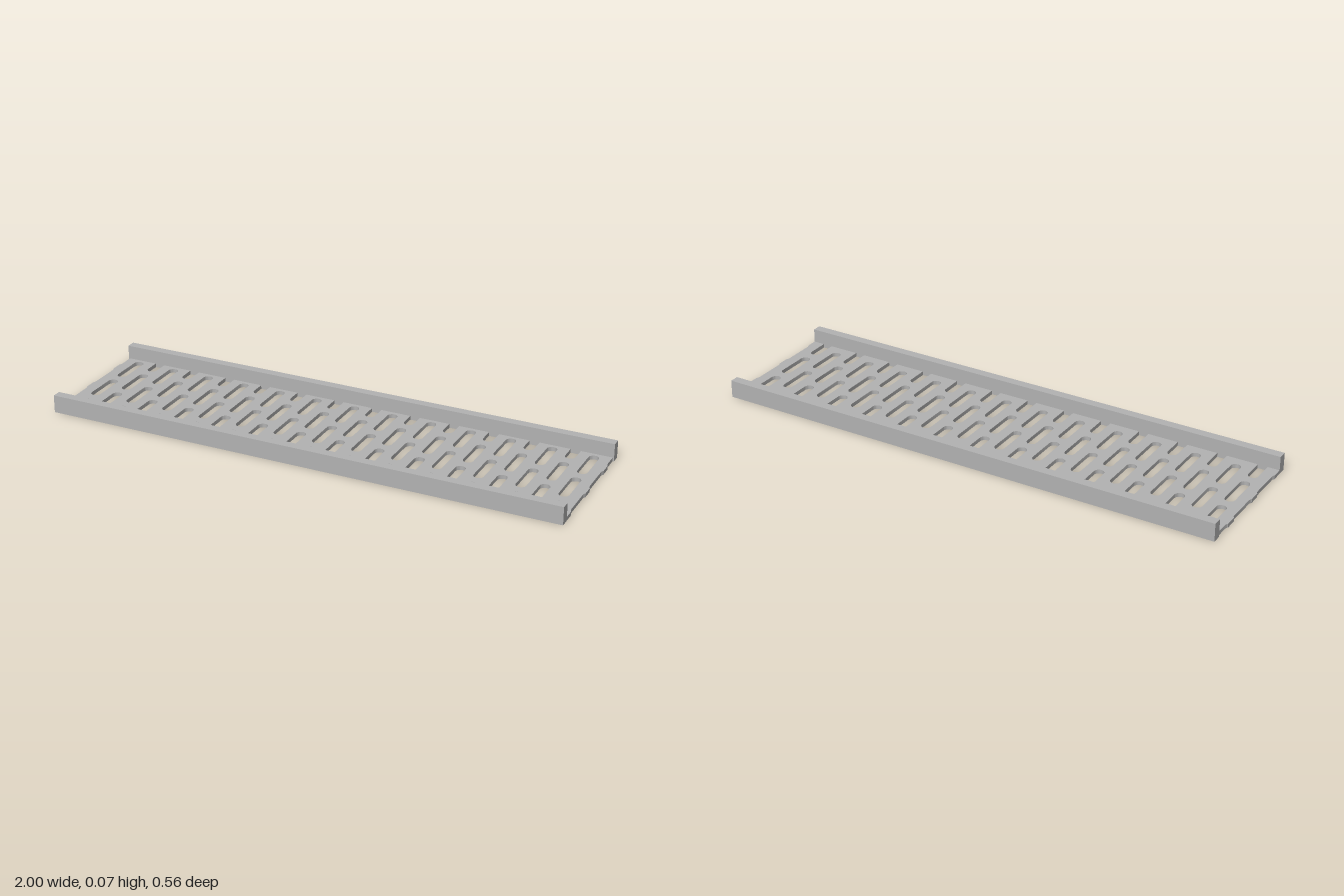
import * as THREE from 'three';
import { toCreasedNormals } from 'three/addons/utils/BufferGeometryUtils.js';

const R = 0.019;        // slot end radius
const HALF = 0.078;     // half slot length
const PITCH = 0.156;    // column spacing along x
const INNER = 0.245;    // inner face of the rails
const OUTER = 0.28;
const FLOOR = 0.015;
const HEIGHT = 0.068;

// Points on a circular arc
function arc(cx, cy, from, to, steps = 10) {
  return Array.from({ length: steps + 1 }, (_, i) => {
    const a = from + (to - from) * i / steps;
    return new THREE.Vector2(cx + R * Math.cos(a), cy + R * Math.sin(a));
  });
}

// Closed slot with round ends, centred on (x, v)
function slot(x, v) {
  return new THREE.Path([
    ...arc(x, v + HALF - R, 0, Math.PI),
    ...arc(x, v - HALF + R, Math.PI, 2 * Math.PI),
  ]);
}

export function createModel() {
  const group = new THREE.Group();
  group.name = 'perforatedTray';
  const metal = new THREE.MeshStandardMaterial({ color: 0xb2b2b2 });
  metal.name = 'grey metal';

  // Floor plan is drawn in (x, v) with v = -z
  const P = (x, v) => new THREE.Vector2(x, v);
  const outline = [P(-1, -INNER)];
  const holes = [];

  // Front edge: slots of the whole columns run into the rail
  for (let i = -6; i <= 6; i++) {
    const x = i * PITCH;
    outline.push(P(x - R, -INNER), ...arc(x, -0.2245 + HALF - R, Math.PI, 0), P(x + R, -INNER));
    holes.push(slot(x, -0.0355), slot(x, 0.153));
  }

  // End edges: shallow notches left by half columns cut at the ends
  const endX = 6.5 * PITCH;
  const cut = Math.acos((endX - 1) / R);
  const end = [P(1, -INNER)];
  for (const v of [-0.13, 0.0585]) {
    end.push(...arc(endX, v - HALF + R, Math.PI + cut, Math.PI, 4));
    end.push(...arc(endX, v + HALF - R, Math.PI, Math.PI - cut, 4));
  }
  end.push(...arc(endX, 0.247 - HALF + R, Math.PI + cut, Math.PI, 4), P(endX - R, INNER));
  outline.push(...end);

  // Back edge: slots of the staggered columns run into the rail
  for (let i = 5.5; i >= -5.5; i--) {
    const x = i * PITCH;
    outline.push(P(x + R, INNER), ...arc(x, 0.247 - HALF + R, 0, -Math.PI), P(x - R, INNER));
    holes.push(slot(x, -0.13), slot(x, 0.0585));
  }
  outline.push(...end.slice(1).reverse().map((p) => P(-p.x, p.y)));

  // Slotted floor
  const shape = new THREE.Shape(outline);
  shape.holes = holes;
  const floorGeo = new THREE.ExtrudeGeometry(shape, { depth: FLOOR, bevelEnabled: false });
  floorGeo.rotateX(-Math.PI / 2);
  const floor = new THREE.Mesh(toCreasedNormals(floorGeo, Math.PI / 5), metal);
  floor.name = 'slottedFloor';
  group.add(floor);

  // Side rails
  for (const s of [1, -1]) {
    const rail = new THREE.Mesh(new THREE.BoxGeometry(2, HEIGHT, OUTER - INNER), metal);
    rail.position.set(0, HEIGHT / 2, s * (OUTER + INNER) / 2);
    rail.name = s > 0 ? 'frontRail' : 'backRail';
    group.add(rail);
  }
  return group;
}
